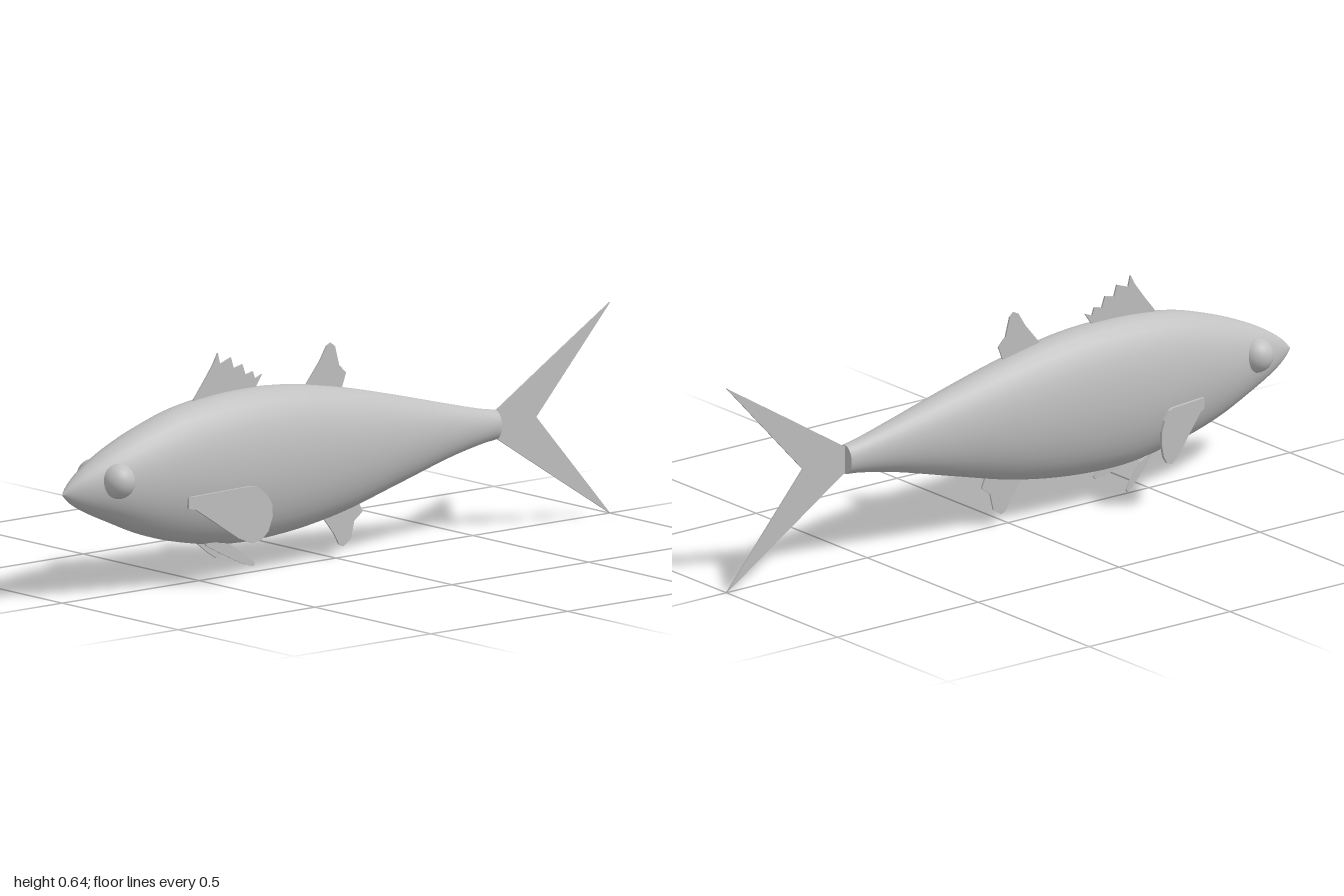
import * as THREE from 'three';

const grey = new THREE.MeshStandardMaterial({ color: 0xc0c0c0 });
grey.name = 'fish grey';

// Body stations: z, top y, bottom y, half width
const stations = [
  [1.0, 0.312, 0.308, 0.002], [0.97, 0.343, 0.28, 0.02], [0.92, 0.378, 0.25, 0.042],
  [0.84, 0.42, 0.213, 0.067], [0.72, 0.468, 0.162, 0.088], [0.58, 0.507, 0.122, 0.101],
  [0.4, 0.527, 0.094, 0.108], [0.2, 0.522, 0.1, 0.106], [0, 0.49, 0.13, 0.095],
  [-0.2, 0.443, 0.181, 0.075], [-0.4, 0.391, 0.234, 0.051], [-0.52, 0.361, 0.258, 0.037],
  [-0.58, 0.35, 0.265, 0.032],
];

// Elliptical cross-sections lofted from snout to tail root
function bodyGeometry() {
  const curve = k => new THREE.CatmullRomCurve3(
    stations.map(s => new THREE.Vector3(0, s[k], s[0])), false, 'catmullrom', 0.5);
  const [top, bottom, side] = [1, 2, 3].map(curve);
  const rings = 60, sides = 32, pos = [], index = [];
  for (let i = 0; i <= rings; i++) {
    const t = i / rings, a = top.getPoint(t), b = bottom.getPoint(t), w = side.getPoint(t).y;
    for (let j = 0; j < sides; j++) {
      const q = j / sides * Math.PI * 2;
      pos.push(w * Math.cos(q), (a.y + b.y) / 2 + (a.y - b.y) / 2 * Math.sin(q), a.z);
      if (i < rings) {
        const p = i * sides + j, n = i * sides + (j + 1) % sides;
        index.push(p, p + sides, n, n, p + sides, n + sides);
      }
    }
  }
  const g = new THREE.BufferGeometry();
  g.setAttribute('position', new THREE.Float32BufferAttribute(pos, 3));
  g.setIndex(index);
  g.computeVertexNormals();
  return g;
}

// Thin plate with its outline given as [z, y]
function finGeometry(points, thickness) {
  const shape = new THREE.Shape(points.map(([z, y]) => new THREE.Vector2(-z, y)));
  return new THREE.ExtrudeGeometry(shape, { depth: thickness, bevelEnabled: false })
    .translate(0, 0, -thickness / 2).rotateY(Math.PI / 2);
}

// Swings a plate outwards toward the rear: x = x0 + slope * (z0 - z)
function flare(geometry, x0, z0, slope, sideSign) {
  const p = geometry.attributes.position;
  for (let i = 0; i < p.count; i++) p.setX(i, p.getX(i) + x0 + slope * (z0 - p.getZ(i)));
  if (sideSign < 0) geometry.rotateZ(Math.PI).scale(1, -1, 1);
  return geometry;
}

export function createModel() {
  const fish = new THREE.Group();
  fish.name = 'fish';
  const add = (name, geometry) => {
    const mesh = new THREE.Mesh(geometry, grey);
    mesh.name = name;
    fish.add(mesh);
    return mesh;
  };

  add('body', bodyGeometry());
  const cap = add('tailRootCap', new THREE.CircleGeometry(1, 32).rotateY(Math.PI));
  cap.scale.set(0.032, 0.0425, 1);
  cap.position.set(0, 0.3075, -0.58);

  // Fins on the centre line
  add('tailFin', finGeometry([
    [-0.56, 0.345], [-0.585, 0.348], [-0.78, 0.468], [-1, 0.602], [-0.73, 0.31],
    [-1, 0.002], [-0.78, 0.142], [-0.585, 0.267], [-0.56, 0.27]], 0.005));
  add('frontDorsalFin', finGeometry([
    [0.53, 0.49], [0.52, 0.52], [0.48, 0.57], [0.45, 0.61], [0.433, 0.64], [0.425, 0.608],
    [0.385, 0.622], [0.375, 0.59], [0.343, 0.597], [0.332, 0.566], [0.305, 0.572],
    [0.297, 0.55], [0.272, 0.56], [0.3, 0.52], [0.3, 0.49]], 0.005));
  add('rearDorsalFin', finGeometry([
    [0.12, 0.47], [0.11, 0.51], [0.06, 0.57], [0.035, 0.61], [0.02, 0.617], [0.005, 0.605],
    [-0.01, 0.55], [-0.035, 0.525], [-0.02, 0.485], [-0.02, 0.45]], 0.005));
  add('analFin', finGeometry([
    [0.05, 0.16], [0.05, 0.125], [0.01, 0.075], [-0.01, 0.04], [-0.025, 0.033],
    [-0.053, 0.05], [-0.065, 0.1], [-0.095, 0.122], [-0.083, 0.15], [-0.07, 0.18]], 0.005));

  // Paired eyes, side fins and belly fins; the right side is mirrored
  for (const [label, s] of [['left', 1], ['right', -1]]) {
    const eye = add(label + 'Eye', new THREE.SphereGeometry(0.05, 32, 20));
    eye.position.set(s * 0.05, 0.335, 0.84);

    const pectoral = finGeometry([
      [0.62, 0.268], [0.6, 0.27], [0.455, 0.289], [0.435, 0.287], [0.41, 0.265],
      [0.395, 0.235], [0.394, 0.2], [0.405, 0.16], [0.422, 0.137], [0.447, 0.127],
      [0.485, 0.143], [0.6, 0.232], [0.62, 0.236]], 0.009);
    const pelvic = finGeometry([
      [0.5, 0.115], [0.43, 0.105], [0.41, 0.09], [0.375, 0.06], [0.36, 0.045],
      [0.365, 0.037], [0.385, 0.042], [0.41, 0.055], [0.45, 0.077], [0.49, 0.102]], 0.006);
    const parts = [
      ['PectoralFin', flare(pectoral, 0.1, 0.605, 0.42, 1)],
      ['PelvicFin', flare(pelvic, 0.02, 0.49, 0.417, 1)],
    ];
    for (const [name, geometry] of parts) add(label + name, geometry).scale.x = s;
  }
  return fish;
}
